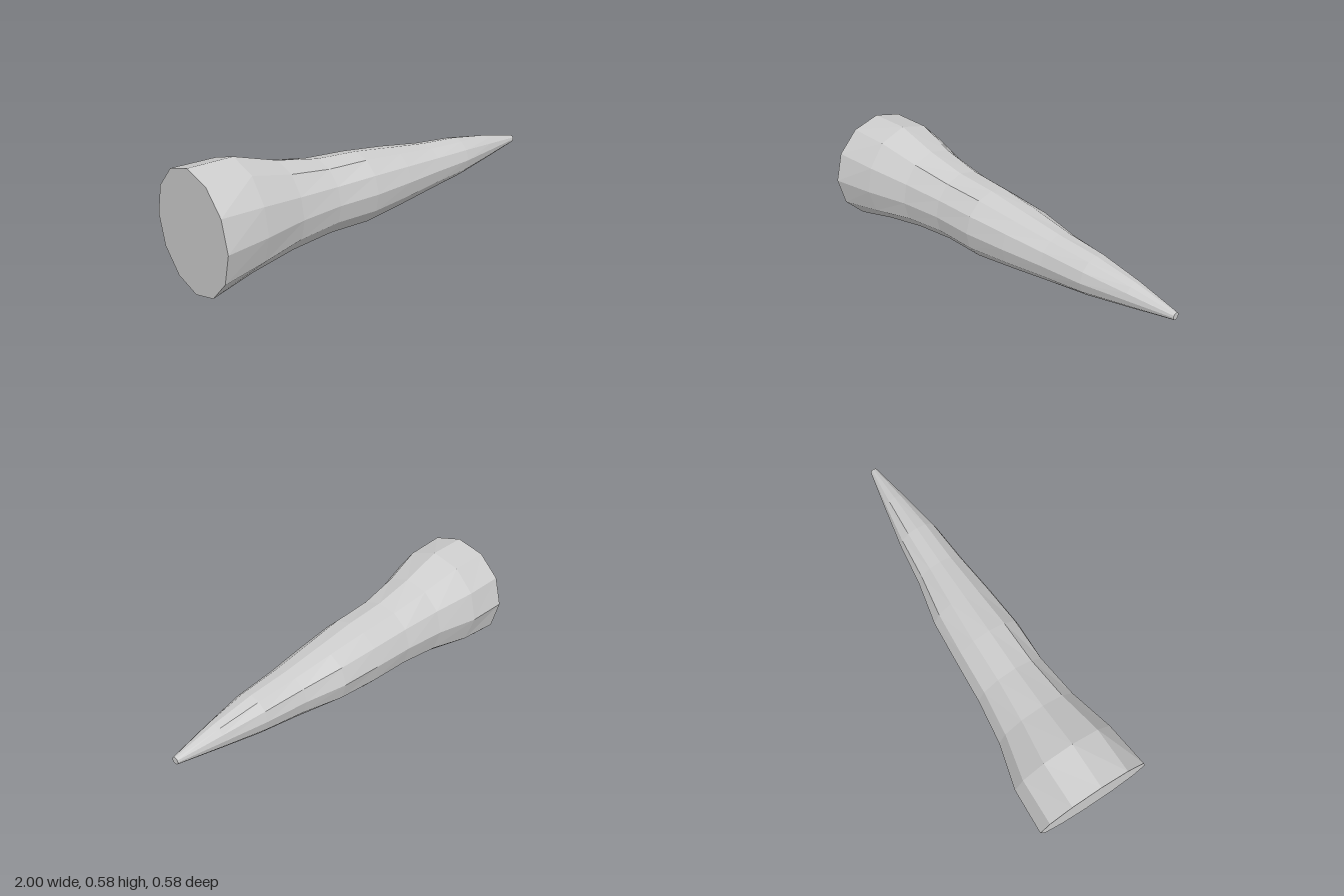
import * as THREE from 'three';

const SIDES = 12;
const AXIS_Y = 0.295;

// Evenly spaced rings from base to tip: reach towards [up, down, front, back]
const RINGS = [
  [0.29, 0.29, 0.29, 0.29],
  [0.292, 0.235, 0.25, 0.282],
  [0.225, 0.203, 0.195, 0.225],
  [0.182, 0.185, 0.17, 0.198],
  [0.168, 0.188, 0.173, 0.186],
  [0.14, 0.16, 0.152, 0.172],
  [0.113, 0.13, 0.125, 0.127],
  [0.098, 0.1, 0.105, 0.1],
  [0.065, 0.06, 0.062, 0.06],
  [0.018, 0.018, 0.018, 0.018],
];

// Point on a ring, blending the four reaches around the axis
function ringPoint([up, down, front, back], x, i) {
  const a = (i / SIDES) * Math.PI * 2;
  const c = Math.cos(a), s = Math.sin(a);
  const r = c * c * (c > 0 ? up : down) + s * s * (s > 0 ? front : back);
  return [x, AXIS_Y + r * c, r * s];
}

function spikeGeometry() {
  const pos = [], index = [];
  const last = RINGS.length - 1;
  RINGS.forEach((ring, k) => {
    for (let i = 0; i < SIDES; i++) pos.push(...ringPoint(ring, -1 + (2 * k) / last, i));
  });
  const base = pos.length / 3, tip = base + 1;
  pos.push(-1, AXIS_Y, 0, 1, AXIS_Y, 0);

  for (let i = 0; i < SIDES; i++) {
    const j = (i + 1) % SIDES;
    // Side facets
    for (let k = 0; k < last; k++) {
      const p = k * SIDES, q = p + SIDES;
      index.push(p + i, p + j, q + i, p + j, q + j, q + i);
    }
    // Flat ends
    index.push(base, j, i, tip, last * SIDES + i, last * SIDES + j);
  }

  const geo = new THREE.BufferGeometry();
  geo.setAttribute('position', new THREE.Float32BufferAttribute(pos, 3));
  geo.setIndex(index);
  const flat = geo.toNonIndexed();
  flat.computeVertexNormals();
  return flat;
}

export function createModel() {
  const group = new THREE.Group();
  const material = new THREE.MeshStandardMaterial({ color: 0xcccccc, flatShading: true });
  const spike = new THREE.Mesh(spikeGeometry(), material);
  spike.name = 'spike';
  group.add(spike);
  return group;
}
